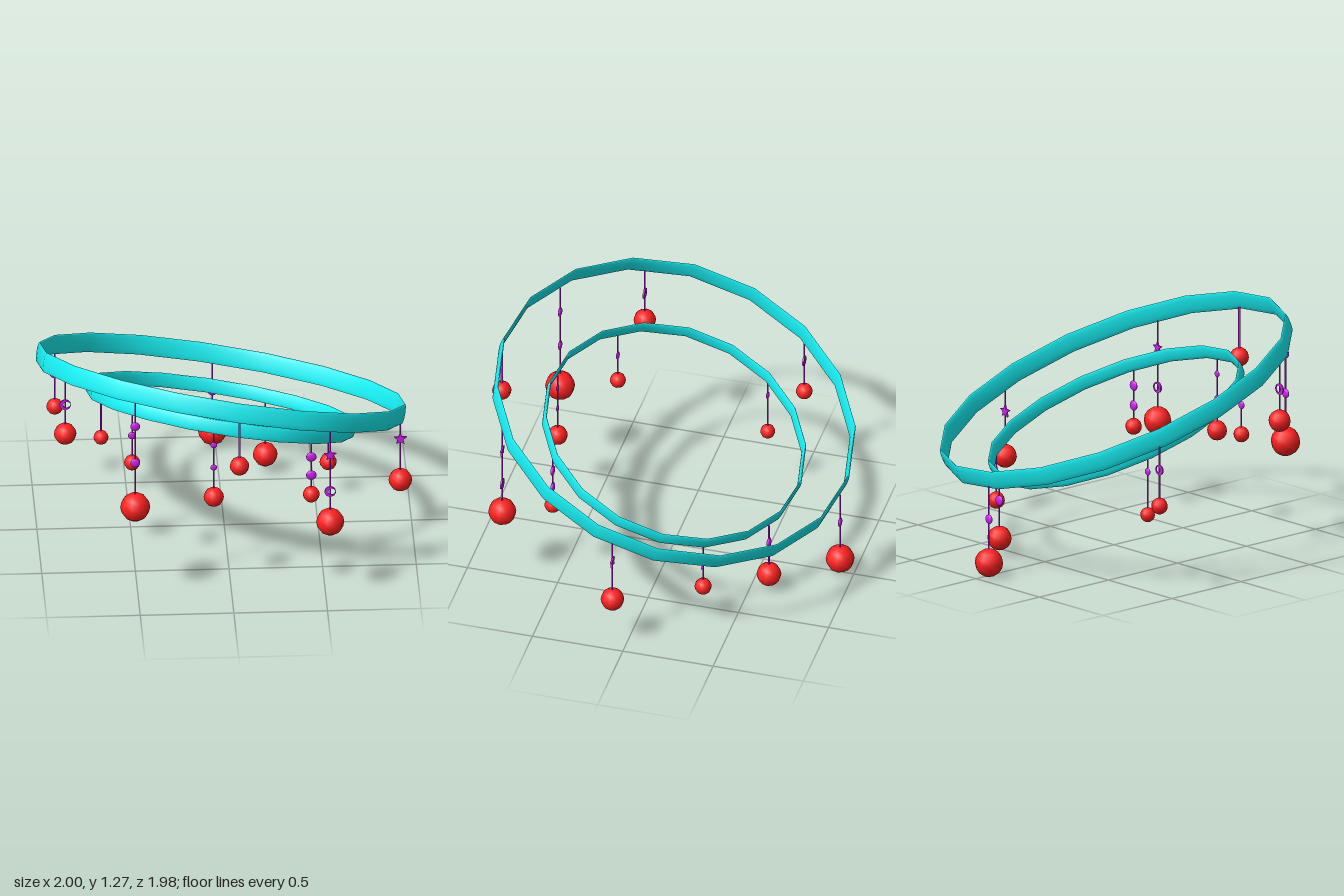
import * as THREE from 'three';

const mat = (color) => new THREE.MeshStandardMaterial({ color });
const teal = mat(0x18f0f4);
const red = mat(0xff2020);
const purple = mat(0xd020f0);

const TILT_X = -0.327, TILT_Z = -0.188;
const RINGS = {
  outer: { y: 0.86, radius: 0.99, half: 0.053 },
  inner: { y: 0.71, radius: 0.719, half: 0.039 },
};
const CENTRE_X = -0.018;

// each pendant: ring, ball x y z radius, charms as [kind, height, size], string radius
const PENDANTS = [
  ['outer', -0.87, 0.79, 0.40, 0.06, [['moon', 0.965, 0.03]]],
  ['outer', -0.88, 0.485, -0.48, 0.045, [['moon', 0.685, 0.028]]],
  ['outer', -0.515, 0.535, 0.77, 0.08, [['disc', 1.02, 0.026], ['disc', 0.8, 0.026]]],
  ['outer', 0.033, 0.858, 0.94, 0.052, [], 0.007],
  ['outer', -0.015, 0.078, -0.92, 0.077, [['disc', 0.318, 0.026]]],
  ['outer', 0.525, 0.433, 0.80, 0.075, [['star', 0.835, 0.034], ['moon', 0.615, 0.03]]],
  ['outer', 0.937, 0.288, 0.075, 0.063, [['star', 0.535, 0.036]]],
  ['inner', -0.64, 0.363, -0.345, 0.04, [['disc', 0.6, 0.02]]],
  ['inner', -0.515, 0.633, 0.45, 0.043, [['disc', 0.795, 0.022]]],
  ['inner', -0.09, 0.528, 0.665, 0.054, [['disc', 0.84, 0.018], ['disc', 0.705, 0.018]]],
  ['inner', 0.25, 0.10, -0.60, 0.066, [['disc', 0.308, 0.028]]],
  ['inner', 0.437, 0.465, 0.545, 0.045, [['disc', 0.69, 0.028], ['disc', 0.58, 0.028]]],
  ['inner', 0.572, 0.193, -0.325, 0.046, [['star', 0.345, 0.034]]],
];

// tilted 18-sided band with a thin elliptical section
function makeRing({ y, radius, half }) {
  const section = [];
  for (let i = 0; i <= 12; i++) {
    const a = -Math.PI / 2 + i * Math.PI / 6;
    section.push(new THREE.Vector2(radius + 0.008 * Math.cos(a), half * Math.sin(a)));
  }
  const ring = new THREE.Mesh(new THREE.LatheGeometry(section, 18), teal);
  ring.rotation.set(TILT_X, 0, TILT_Z, 'ZXY');
  ring.position.set(CENTRE_X, y, 0);
  return ring;
}

function extrudeFlat(shape) {
  const geo = new THREE.ExtrudeGeometry(shape, { depth: 0.3, bevelEnabled: false, curveSegments: 16 });
  return geo.translate(0, 0, -0.15);
}

function starGeometry() {
  const points = [];
  for (let i = 0; i < 10; i++) {
    const a = Math.PI / 2 + i * Math.PI / 5, r = i % 2 ? 0.45 : 1;
    points.push(new THREE.Vector2(r * Math.cos(a), r * Math.sin(a)));
  }
  return extrudeFlat(new THREE.Shape(points));
}

// round charm with an off-centre hole
function moonGeometry() {
  const shape = new THREE.Shape().absarc(0, 0, 1, 0, Math.PI * 2, false);
  shape.holes.push(new THREE.Path().absarc(0.28, 0, 0.64, 0, Math.PI * 2, true));
  return extrudeFlat(shape);
}

const charmGeometry = {
  disc: new THREE.SphereGeometry(1, 14, 10).scale(1, 1, 0.4),
  star: starGeometry(),
  moon: moonGeometry(),
};
const ballGeometry = new THREE.SphereGeometry(1, 10, 8);

function makePendant([ringName, x, y, z, r, charms, stringRadius = 0.0045]) {
  const g = new THREE.Group();
  g.name = ringName + 'Pendant';
  g.position.set(x, 0, z);
  const add = (geo, material, name, height, size) => {
    const m = new THREE.Mesh(geo, material);
    m.name = name;
    m.position.y = height;
    m.scale.setScalar(size);
    g.add(m);
  };
  // the string ends at the lower edge of the tilted band
  const { y: ringY, half } = RINGS[ringName];
  const top = ringY + Math.tan(TILT_Z) * (x - CENTRE_X)
    - Math.tan(TILT_X) / Math.cos(TILT_Z) * z - 0.8 * half;
  const string = new THREE.CylinderGeometry(stringRadius, stringRadius, top - y, 6);
  add(string, purple, 'string', (top + y) / 2, 1);
  add(ballGeometry, red, 'ball', y, r);
  for (const [kind, height, size] of charms) add(charmGeometry[kind], purple, kind + 'Charm', height, size);
  return g;
}

export function createModel() {
  const model = new THREE.Group();
  model.name = 'hangingMobile';
  for (const [name, spec] of Object.entries(RINGS)) {
    const ring = makeRing(spec);
    ring.name = name + 'Ring';
    model.add(ring);
  }
  PENDANTS.forEach((p) => model.add(makePendant(p)));
  return model;
}
